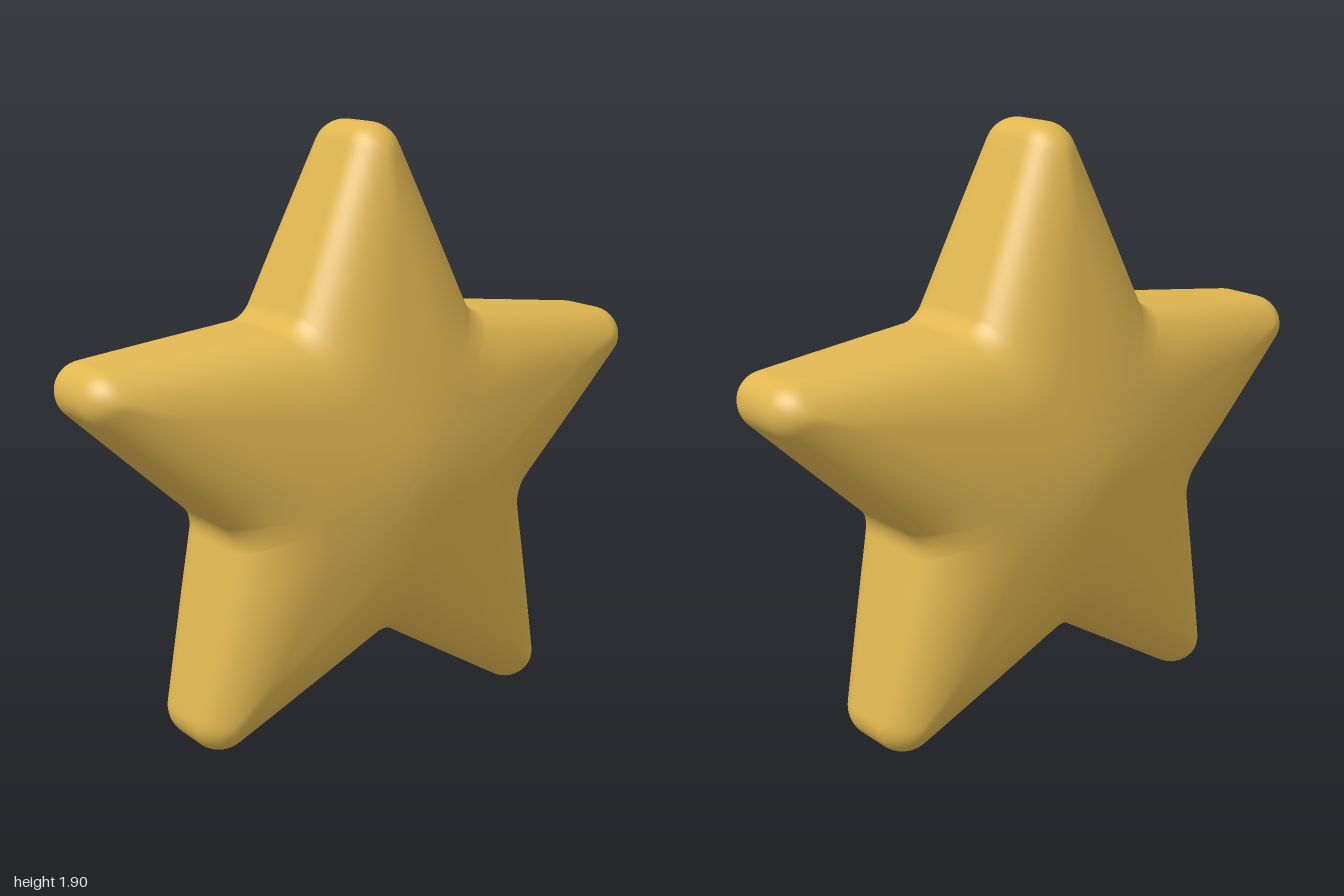
import * as THREE from 'three';

const CENTRE_Y = 0.858;
const TIP_R = 0.957, VALLEY_R = 0.653, ROUND = 0.09; // arc centres and arc radius
const REACH = TIP_R + ROUND;

const polar = (r, a) => new THREE.Vector2(r * Math.cos(a), r * Math.sin(a));

// Rounded five-point outline, counter-clockwise: tip arc, straight flank, valley arc, flank
function starOutline() {
  const points = [];
  const half = Math.PI / 5;
  const dx = VALLEY_R * Math.sin(half), dy = TIP_R - VALLEY_R * Math.cos(half);
  const lean = Math.atan2(dx, dy) - Math.asin(2 * ROUND / Math.hypot(dx, dy));
  const sweep = Math.PI / 2 - lean;
  const arc = (centre, from, to, steps) => {
    for (let i = 0; i <= steps; i++) {
      points.push(polar(ROUND, from + (to - from) * i / steps).add(centre));
    }
  };
  const flank = (a, b) => {
    for (let i = 1; i < 8; i++) points.push(a.clone().lerp(b, i / 8));
  };
  for (let k = 0; k < 5; k++) {
    const a = Math.PI / 2 + k * 2 * half;
    const tip = polar(TIP_R, a), valley = polar(VALLEY_R, a + half);
    const nextTip = polar(TIP_R, a + 2 * half);
    const start = a + sweep + Math.PI, end = 2 * (a + half + Math.PI) - start;
    arc(tip, a - sweep, a + sweep, 14);
    flank(points[points.length - 1], polar(ROUND, start).add(valley));
    arc(valley, start, end, 10);
    flank(points[points.length - 1], polar(ROUND, a + 2 * half - sweep).add(nextTip));
  }
  return points;
}

function distanceToOutline(p, outline) {
  let best = Infinity;
  outline.forEach((a, i) => {
    const b = outline[(i + 1) % outline.length];
    const ex = b.x - a.x, ey = b.y - a.y;
    const t = THREE.MathUtils.clamp(
      ((p.x - a.x) * ex + (p.y - a.y) * ey) / (ex * ex + ey * ey), 0, 1);
    best = Math.min(best, Math.hypot(p.x - a.x - ex * t, p.y - a.y - ey * t));
  });
  return best;
}

// Half thickness: a dome tapering to the tips, with a rounded shoulder along the outline
function halfThickness(p, outline) {
  const r = p.length();
  const dome = 0.385 - 0.2 * Math.hypot(r, 0.15);
  const inner = Math.max(0, REACH - r);
  const drop = 0.11 + 0.08 * inner;
  const width = 0.11 + 0.2 * inner;
  const u = Math.max(0, 1 - distanceToOutline(p, outline) / width);
  return dome - drop * (1 - Math.sqrt(Math.max(0, 1 - u * u)));
}

function starGeometry() {
  const outline = starOutline();
  const n = outline.length, rings = 30;
  const front = [];
  // Rings shrink toward the centre and crowd together near the rim
  for (let i = rings - 1; i >= 0; i--) {
    const scale = 1 - (i / rings) ** 2;
    front.push(outline.map((o) => {
      const p = o.clone().multiplyScalar(scale);
      return [p.x, Math.max(0, p.y + CENTRE_Y), halfThickness(p, outline)];
    }));
  }
  const back = front.map((ring) => ring.map(([x, y, z]) => [x, y, -z])).reverse();
  const middle = [0.5, 0, -0.5].map((f) =>
    front[rings - 1].map(([x, y, z]) => [x, y, z * f]));
  const all = [...front, ...middle, ...back];

  const top = halfThickness(new THREE.Vector2(), outline);
  const positions = [0, CENTRE_Y, top, ...all.flat(2), 0, CENTRE_Y, -top];
  const last = all.length + 1;
  const id = (k, j) => (k === 0 ? 0 : k === last ? 1 + all.length * n : 1 + (k - 1) * n + j % n);
  const index = [];
  for (let k = 0; k < last; k++) {
    for (let j = 0; j < n; j++) {
      const a = id(k, j), b = id(k + 1, j), c = id(k + 1, j + 1), d = id(k, j + 1);
      if (k + 1 < last) index.push(a, b, c);
      if (k > 0) index.push(a, c, d);
    }
  }
  const geometry = new THREE.BufferGeometry();
  geometry.setAttribute('position', new THREE.Float32BufferAttribute(positions, 3));
  geometry.setIndex(index);
  geometry.computeVertexNormals();
  return geometry;
}

export function createModel() {
  const gold = new THREE.MeshStandardMaterial({ color: 0xe0b650 });
  gold.name = 'gold';
  const star = new THREE.Mesh(starGeometry(), gold);
  star.name = 'star';
  const group = new THREE.Group();
  group.name = 'puffyStar';
  group.add(star);
  return group;
}
